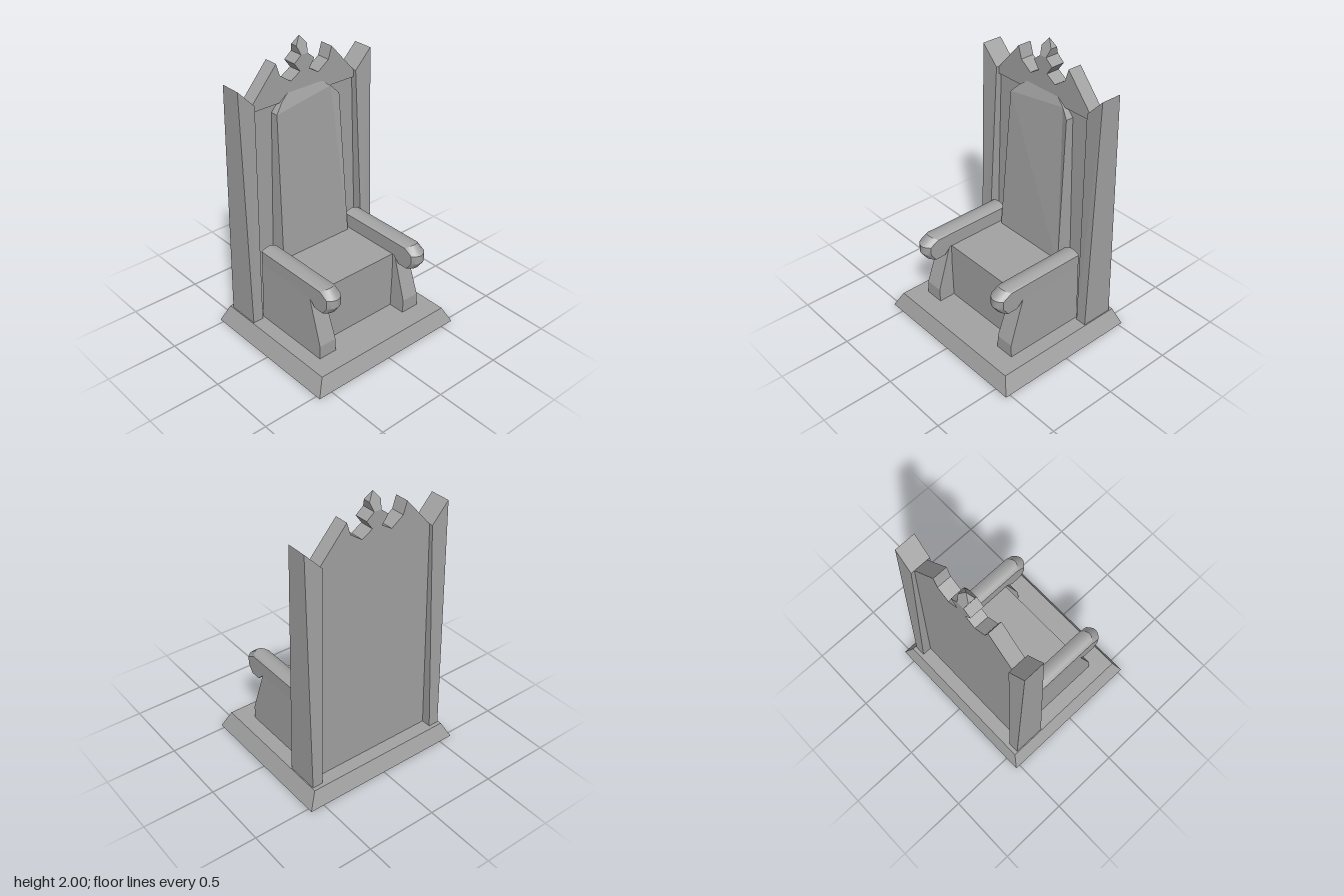
import * as THREE from 'three';
import { toCreasedNormals } from 'three/addons/utils/BufferGeometryUtils.js';

const stone = new THREE.MeshStandardMaterial({ color: 0xa3a3a3, side: THREE.DoubleSide });
stone.name = 'grey stone';

// Faceted geometry from corner points and polygon faces (fan triangulated)
function polyhedron(points, faces) {
  const pos = [];
  for (const f of faces)
    for (let i = 1; i < f.length - 1; i++)
      for (const k of [f[0], f[i], f[i + 1]]) pos.push(...points[k]);
  const g = new THREE.BufferGeometry();
  g.setAttribute('position', new THREE.Float32BufferAttribute(pos, 3));
  g.computeVertexNormals();
  return g;
}

// Four-sided block; both rings run front-left, front-right, back-right, back-left
function block(bottom, top, closedBelow = true) {
  const faces = [[4, 5, 6, 7], [0, 1, 5, 4], [1, 2, 6, 5], [2, 3, 7, 6], [3, 0, 4, 7]];
  if (closedBelow) faces.push([3, 2, 1, 0]);
  return polyhedron([...bottom, ...top], faces);
}

const ring = (x0, x1, y, zFront, zBack) =>
  [[x0, y, zFront], [x1, y, zFront], [x1, y, zBack], [x0, y, zBack]];

function extrude(points, depth, steps = 1) {
  const shape = new THREE.Shape(points.map(([x, y]) => new THREE.Vector2(x, y)));
  return new THREE.ExtrudeGeometry(shape, { depth, steps, bevelEnabled: false });
}

// Side profile given as (z, y), extruded across x and centred on x = 0
const sideExtrude = (points, width, steps) =>
  extrude(points, width, steps).rotateY(-Math.PI / 2).translate(width / 2, 0, 0);

function reshape(g, rule) {
  const p = g.attributes.position, v = new THREE.Vector3();
  for (let i = 0; i < p.count; i++) {
    rule(v.fromBufferAttribute(p, i));
    p.setXYZ(i, v.x, v.y, v.z);
  }
  g.computeVertexNormals();
  return g;
}

// Symmetric outline from its right half, listed bottom to top
const mirrored = (half) =>
  [...half, ...half.slice().reverse().filter(([x]) => x > 0).map(([x, y]) => [-x, y])];

export function createModel() {
  const group = new THREE.Group();
  const add = (name, geometry, parent = group) => {
    const mesh = new THREE.Mesh(geometry, stone);
    mesh.name = name;
    parent.add(mesh);
    return mesh;
  };

  // Plinth, hollow underneath
  add('plinth', block(ring(-0.6, 0.6, 0, 0.533, -0.533), ring(-0.54, 0.54, 0.115, 0.487, -0.49), false));

  // Seat block
  add('seat', block(ring(-0.31, 0.31, 0.115, 0.225, -0.35), ring(-0.31, 0.31, 0.535, 0.225, -0.35)));

  // Recessed back panel
  add('backPanel', block(ring(-0.46, 0.46, 0.115, -0.315, -0.395), ring(-0.412, 0.412, 1.63, -0.315, -0.395)));

  // Jagged crest across the top of the back
  const crest = [[0.412, 1.62], [0.41, 1.67], [0.222, 1.885], [0.195, 1.8], [0.11, 1.74],
    [0.037, 1.785], [0.08, 1.845], [0.026, 1.89]];
  add('crest', extrude(mirrored(crest), 0.1).translate(0, 0, -0.395));

  // Pointed finial in the middle of the crest
  const c = -0.345, n = 0.05, s = 0.025;
  add('finial', polyhedron([
    [0, 2, c],
    [0.042, 1.945, c + s], [0.042, 1.945, c - s], [-0.042, 1.945, c - s], [-0.042, 1.945, c + s],
    [0, 1.89, c + n], [0.026, 1.89, c + n], [0.026, 1.89, c - n],
    [0, 1.89, c - n], [-0.026, 1.89, c - n], [-0.026, 1.89, c + n],
  ], [
    [0, 1, 2], [0, 2, 8], [0, 8, 3], [0, 3, 4], [0, 4, 5], [0, 5, 1],
    [5, 6, 1], [6, 7, 2, 1], [7, 8, 2], [8, 9, 3], [9, 10, 4, 3], [10, 5, 4],
  ]));

  // Backrest, leaning back and bevelled at the top
  const rest = [[0.285, 0.5], [0.255, 1.565], [0.2, 1.625], [0.14, 1.67]];
  add('backrest', reshape(extrude(mirrored(rest), 1), (v) => {
    const lean = -0.2 - 0.06 * (v.y - 0.535) / 1.03;
    const bevel = -0.26 - 0.035 * (v.y - 1.565) / 0.105;
    v.z = v.z > 0.5 ? (v.y > 1.57 ? bevel : lean) : -0.33;
  }));

  const armProfile = [[-0.25, 0.535], [0.235, 0.535], [0.285, 0.485], [0.395, 0.485],
    [0.435, 0.54], [0.435, 0.6], [0.37, 0.655], [-0.25, 0.655]];
  const sideProfile = [[-0.25, 0.115], [0.345, 0.115], [0.345, 0.21], [0.235, 0.54],
    [0.235, 0.58], [-0.25, 0.58]];

  for (const side of [1, -1]) {
    const half = new THREE.Group();
    half.name = side > 0 ? 'leftSide' : 'rightSide';
    group.add(half);

    // Tapered post with a top sloping inward
    const bottom = ring(0.457, 0.533, 0.115, -0.23, -0.463);
    const top = [[0.41, 1.67, -0.274], [0.533, 1.8, -0.27], [0.533, 1.8, -0.416], [0.41, 1.67, -0.42]];
    const place = (r) => side > 0 ? r : r.map(([x, y, z]) => [-x, y, z]).reverse();
    add('post', block(place(bottom), place(top)), half);

    // Side panel under the armrest, narrowing upward
    const panel = add('armPanel', reshape(sideExtrude(sideProfile, 0.135, 1), (v) => {
      v.x *= 1 - 0.2 * (v.y - 0.115) / 0.465;
    }), half);
    panel.position.x = 0.37 * side;

    // Armrest with a crowned top and rounded nose
    const arm = reshape(sideExtrude(armProfile, 0.12, 6), (v) => {
      const t = (v.x / 0.06) ** 2;
      if (v.y > 0.61) v.y -= 0.02 * t;
      if (v.z > 0.36) v.z -= 0.035 * t;
    });
    add('armrest', toCreasedNormals(arm, 0.5), half).position.x = 0.366 * side;
  }
  return group;
}
